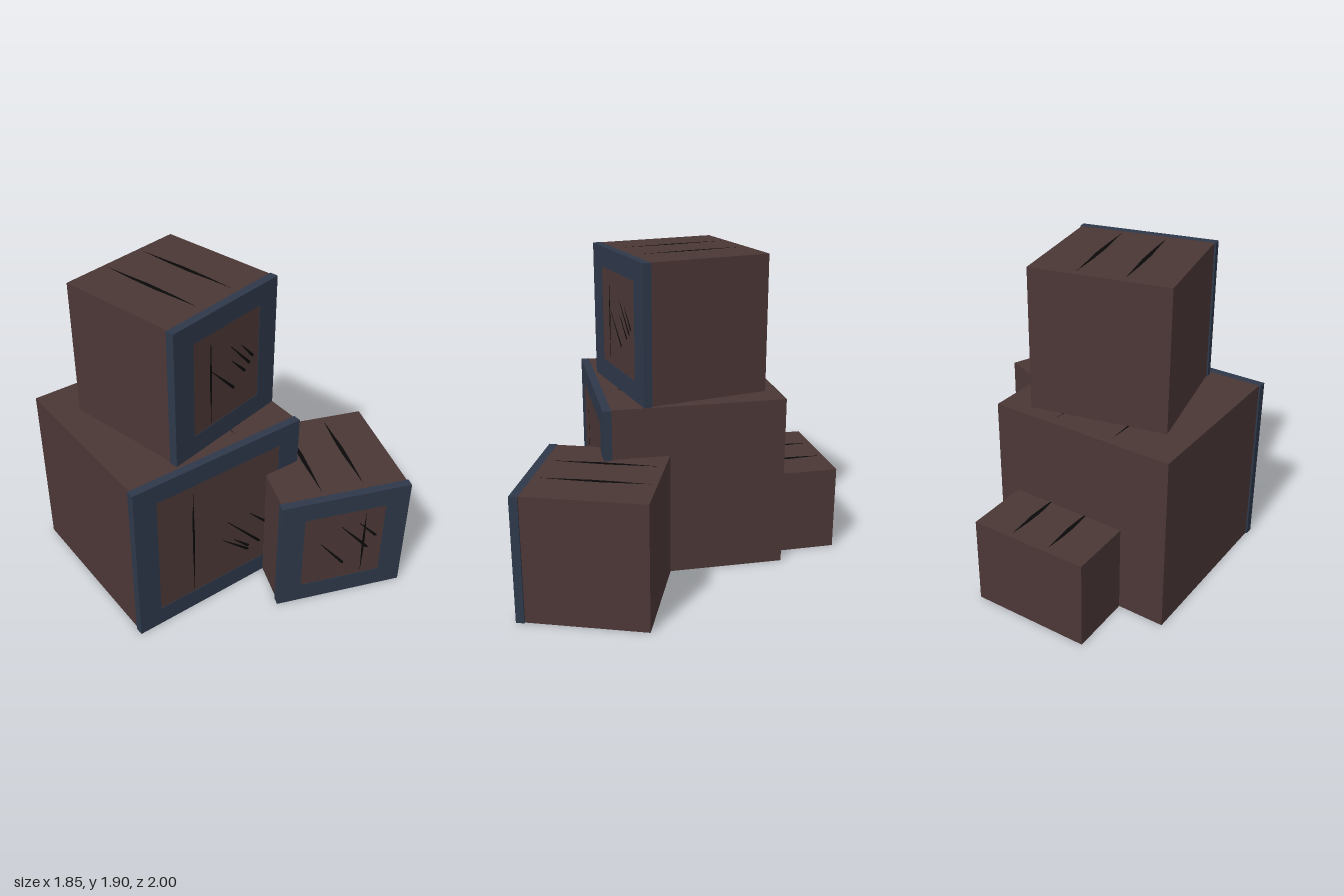
import * as THREE from 'three';

const brown = new THREE.MeshStandardMaterial({ name: 'dark brown wood', color: 0x4b3736 });
const blue = new THREE.MeshStandardMaterial({ name: 'slate blue trim', color: 0x2e384a });
const black = new THREE.MeshStandardMaterial({ name: 'black crack', color: 0x0a0909, side: THREE.DoubleSide });

const TRIM = 0.05; // front frame thickness
const SIDE = 0.146, RAIL = 0.123; // frame borders

function addMesh(parent, name, geometry, material, x = 0, y = 0, z = 0) {
  const mesh = new THREE.Mesh(geometry, material);
  mesh.name = name;
  mesh.position.set(x, y, z);
  parent.add(mesh);
  return mesh;
}

function polygon(points) {
  return new THREE.Shape(points.map(([x, y]) => new THREE.Vector2(x, y)));
}

// Long crack, tapered at both ends and slightly jagged
function crackGeometry(length, width) {
  const l = length, w = width;
  return new THREE.ShapeGeometry(polygon([
    [0, -l / 2], [w * 0.35, -l * 0.22], [w * 0.5, 0.05 * l], [w * 0.25, l * 0.25],
    [0, l / 2], [-w * 0.4, l * 0.2], [-w * 0.5, -0.05 * l], [-w * 0.2, -l * 0.28],
  ]));
}

// Short scratch: fine start, heavier end
function scratchGeometry(x1, y1, x2, y2) {
  const length = Math.hypot(x2 - x1, y2 - y1), w = 0.009;
  const nx = -(y2 - y1) / length, ny = (x2 - x1) / length;
  const at = (t, s) => [x1 + (x2 - x1) * t + nx * s * w, y1 + (y2 - y1) * t + ny * s * w];
  return new THREE.ShapeGeometry(polygon([
    at(0, -0.2), at(0.55, -0.7), at(0.93, -1), at(1, 0), at(0.93, 1), at(0.5, 0.7), at(0, 0.2),
  ]));
}

// Crate standing on its own y = 0, front facing local +z
function makeCrate({ name, w, h, d, pos, turn, crackSide, scratches }) {
  const crate = new THREE.Group();
  crate.name = name;
  crate.position.set(...pos);
  crate.rotation.y = turn;
  const bodyDepth = d - TRIM;
  const front = d / 2;

  addMesh(crate, 'crateBody', new THREE.BoxGeometry(w, h, bodyDepth), brown, 0, h / 2, -TRIM / 2);

  // Frame around the front, a little wider than the body
  const fw = w / 2 + 0.01;
  const outline = polygon([[-fw, 0], [fw, 0], [fw, h], [-fw, h]]);
  const px = fw - SIDE;
  outline.holes.push(new THREE.Path([
    [-px, RAIL], [-px, h - RAIL], [px, h - RAIL], [px, RAIL],
  ].map(([x, y]) => new THREE.Vector2(x, y))));
  addMesh(crate, 'frontFrame',
    new THREE.ExtrudeGeometry(outline, { depth: TRIM, bevelEnabled: false }), blue, 0, 0, front - TRIM);

  // Panel inside the frame
  addMesh(crate, 'frontPanel', new THREE.BoxGeometry(2 * px, h - 2 * RAIL, TRIM - 0.003), brown,
    0, h / 2, front - TRIM / 2 - 0.0015);

  // Two cracks along the lid
  for (const side of [-1, 1]) {
    const crack = addMesh(crate, 'lidCrack', crackGeometry(bodyDepth * 0.91, 0.028), black,
      side * w / 6, h + 0.003, -TRIM / 2);
    crack.rotation.x = -Math.PI / 2;
  }

  // Vertical crack and scratches on the panel
  addMesh(crate, 'panelCrack', crackGeometry(h - 2 * RAIL - 0.015, 0.016), black,
    crackSide * w / 6, h / 2, front + 0.001);
  for (const s of scratches) {
    addMesh(crate, 'panelScratch', scratchGeometry(...s), black, 0, 0, front + 0.001);
  }
  return crate;
}

export function createModel() {
  const model = new THREE.Group();
  model.name = 'crateStack';
  const crates = [
    {
      name: 'largeCrate', w: 1.123, h: 1.065, d: 1.097, pos: [-0.326, 0, -0.031], turn: 0.078, crackSide: -1,
      scratches: [[0.02, 0.42, 0.22, 0.235], [0.055, 0.545, 0.31, 0.25],
        [0.105, 0.38, 0.22, 0.265], [0.22, 0.53, 0.38, 0.36]],
    },
    {
      name: 'topCrate', w: 0.805, h: 0.835, d: 0.795, pos: [-0.252, 1.065, -0.031], turn: 0.294, crackSide: -1,
      scratches: [[-0.127, 0.475, 0.063, 0.273], [0.027, 0.561, 0.195, 0.375],
        [0.037, 0.465, 0.153, 0.344], [0.115, 0.531, 0.221, 0.41]],
    },
    {
      name: 'frontCrate', w: 0.775, h: 0.762, d: 0.757, pos: [0.443, 0, 0.529], turn: -0.274, crackSide: 1,
      scratches: [[-0.143, 0.43, 0.015, 0.235], [-0.022, 0.54, 0.165, 0.325],
        [0.03, 0.485, 0.135, 0.36], [0.092, 0.54, 0.212, 0.41]],
    },
    {
      name: 'rearCrate', w: 0.713, h: 0.532, d: 0.53, pos: [-0.301, 0, -0.703], turn: 0.0916, crackSide: -1,
      scratches: [],
    },
  ];
  for (const crate of crates) model.add(makeCrate(crate));
  return model;
}
